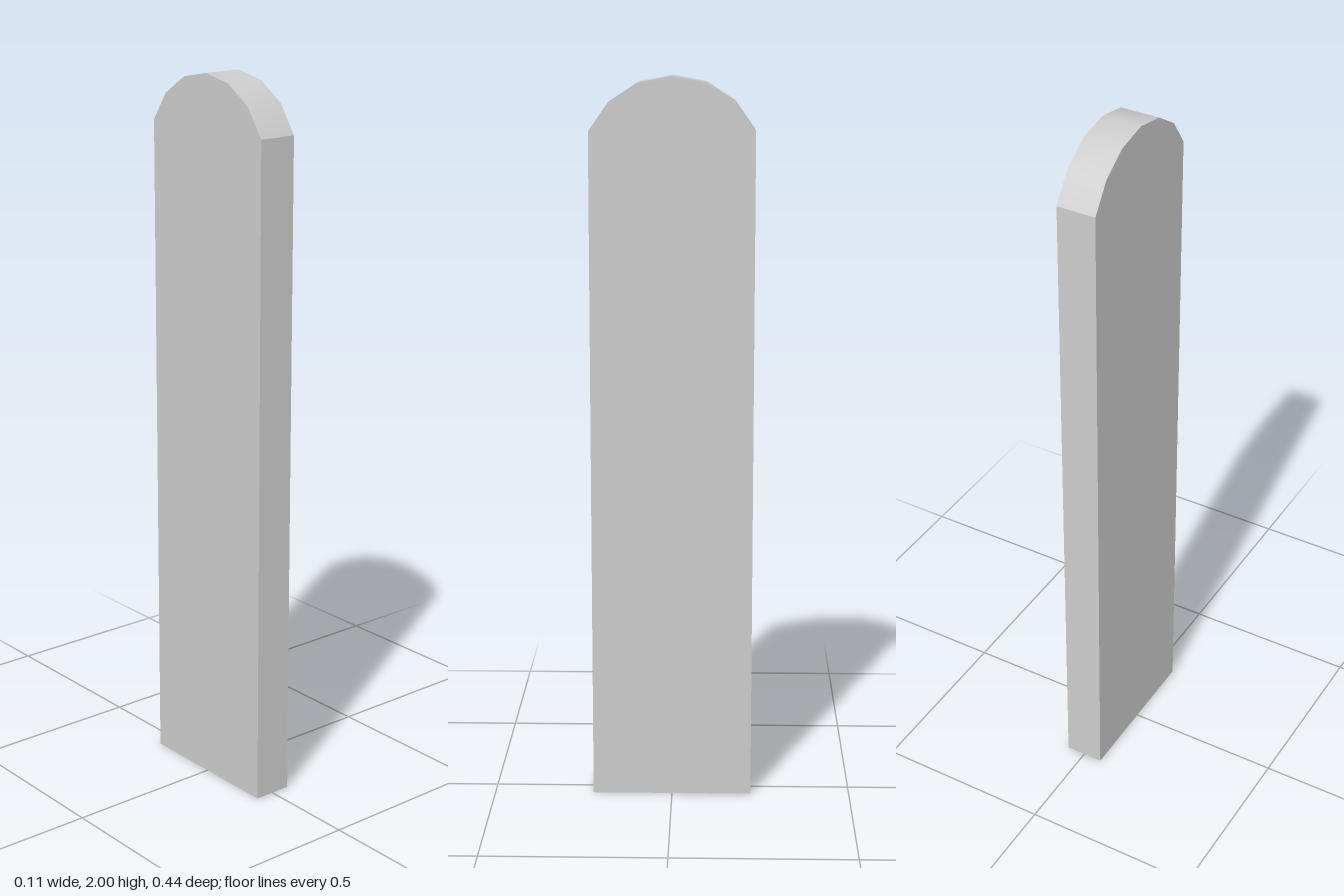
import * as THREE from 'three';
import { toCreasedNormals } from 'three/addons/utils/BufferGeometryUtils.js';

export function createModel() {
  const group = new THREE.Group();
  group.name = 'archedPlank';

  const halfWidth = 0.222, thickness = 0.11, height = 2, shoulder = 1.855;
  const rise = height - shoulder;
  const radius = (halfWidth ** 2 + rise ** 2) / (2 * rise);
  const halfAngle = Math.asin(halfWidth / radius);
  const segments = 6;

  // Side profile: straight edges below a shallow six-sided arch
  const profile = new THREE.Shape();
  profile.moveTo(-halfWidth, 0);
  profile.lineTo(halfWidth, 0);
  for (let i = 0; i <= segments; i++) {
    const a = halfAngle * (1 - (2 * i) / segments);
    profile.lineTo(radius * Math.sin(a), height - radius + radius * Math.cos(a));
  }
  profile.closePath();

  // Extrude across the thickness, centred, with the width along z
  const geometry = new THREE.ExtrudeGeometry(profile, { depth: thickness, bevelEnabled: false });
  geometry.translate(0, 0, -thickness / 2);
  geometry.rotateY(Math.PI / 2);

  // Smooth over the arch, sharp at every other edge
  const plank = new THREE.Mesh(
    toCreasedNormals(geometry, 0.5),
    new THREE.MeshStandardMaterial({ color: 0xcccccc })
  );
  plank.name = 'plank';
  group.add(plank);
  return group;
}
